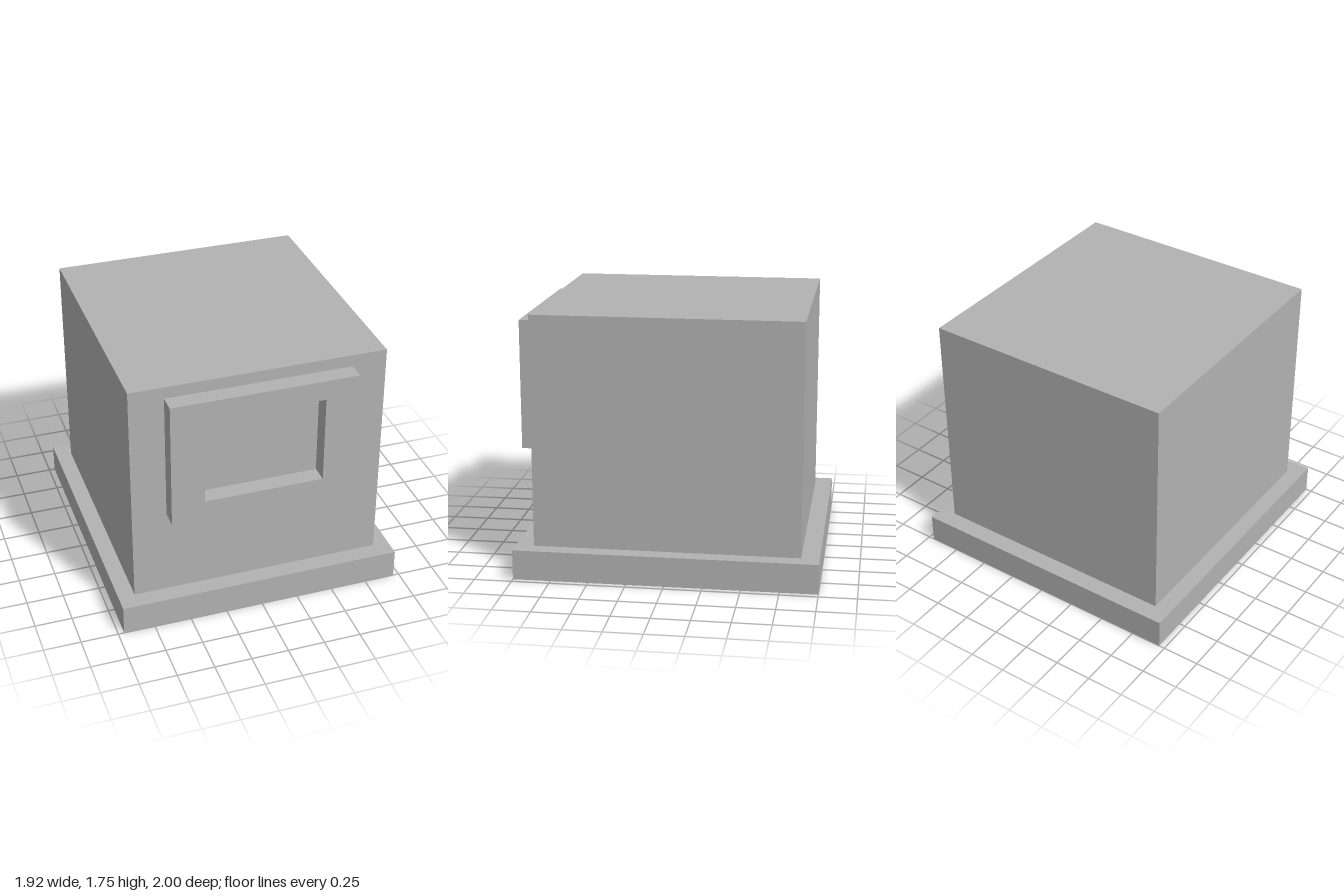
import * as THREE from 'three';

export function createModel() {
  const model = new THREE.Group();
  model.name = 'monumentBlock';
  const grey = new THREE.MeshStandardMaterial({ color: 0xb2b2b2 });
  grey.name = 'stone grey';

  const add = (name, geometry, x, y, z) => {
    const mesh = new THREE.Mesh(geometry, grey);
    mesh.name = name;
    mesh.position.set(x, y, z);
    model.add(mesh);
  };

  // Wide slab and the block standing on it
  const baseHeight = 0.2, top = 1.745, bodyFront = 0.88;
  add('base', new THREE.BoxGeometry(1.92, baseHeight, 2), 0, baseHeight / 2, 0);
  add('body', new THREE.BoxGeometry(1.7, top - baseHeight, bodyFront * 2),
    0, (top + baseHeight) / 2, 0);

  // Raised rectangular frame, open through to the front wall
  const rectangle = (path, halfWidth, bottom, upper) => {
    path.moveTo(-halfWidth, bottom);
    path.lineTo(halfWidth, bottom);
    path.lineTo(halfWidth, upper);
    path.lineTo(-halfWidth, upper);
    path.closePath();
    return path;
  };
  const outline = rectangle(new THREE.Shape(), 0.62, 0.8, 1.665);
  outline.holes.push(rectangle(new THREE.Path(), 0.4, 0.93, 1.53));
  add('frontFrame',
    new THREE.ExtrudeGeometry(outline, { depth: 1 - bodyFront, bevelEnabled: false }),
    0, 0, bodyFront);

  return model;
}
